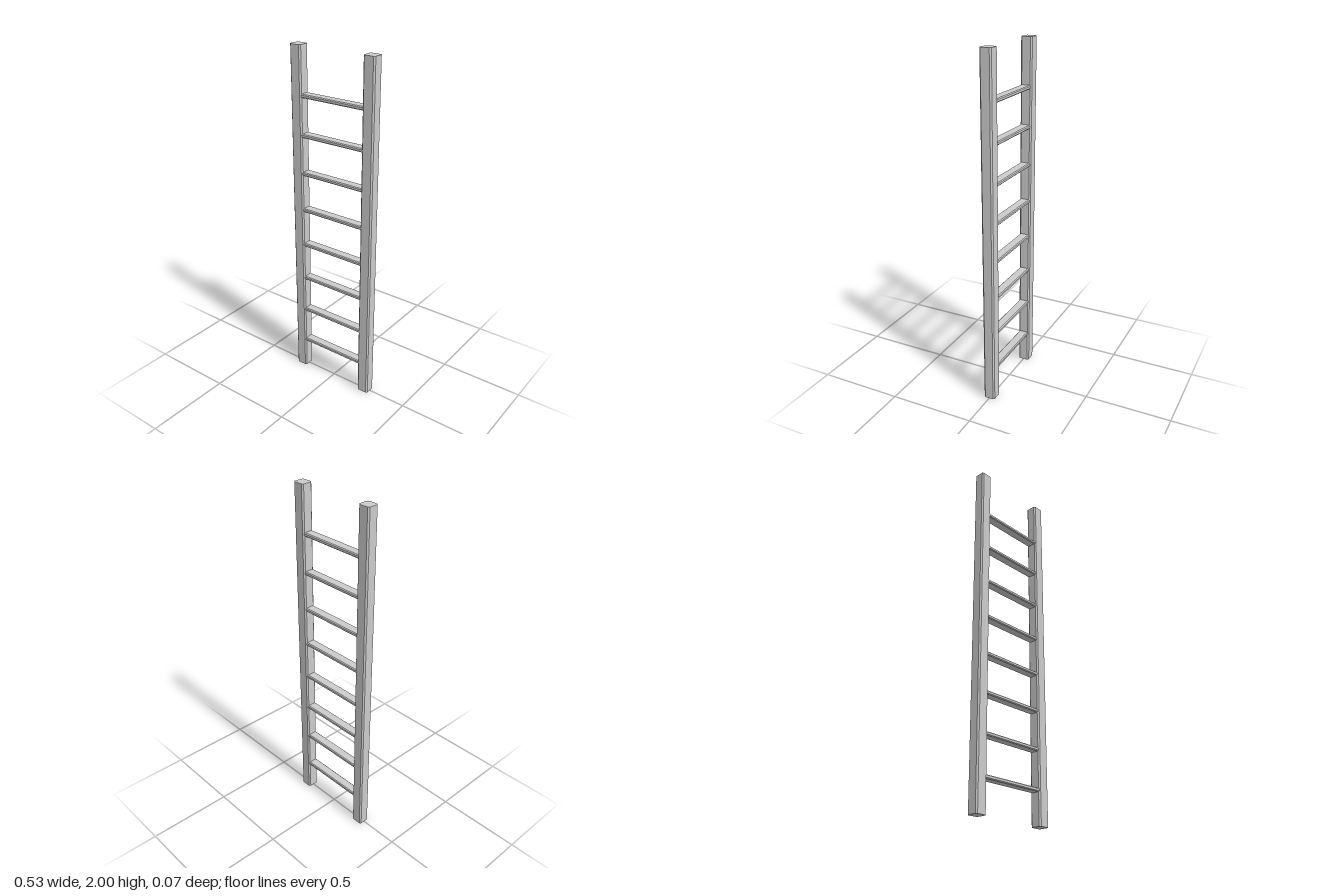
import * as THREE from 'three';

const material = new THREE.MeshStandardMaterial({ color: 0xcccccc, flatShading: true });

// Straight bar with chamfered long edges, running along z and centred
function chamferedBar(width, height, length, c) {
  const w = width / 2, h = height / 2;
  const section = new THREE.Shape([
    [w - c, -h], [w, -h + c], [w, h - c], [w - c, h],
    [-w + c, h], [-w, h - c], [-w, -h + c], [-w + c, -h],
  ].map(([x, y]) => new THREE.Vector2(x, y)));
  const geometry = new THREE.ExtrudeGeometry(section, { depth: length, bevelEnabled: false });
  return geometry.translate(0, 0, -length / 2);
}

export function createModel() {
  const ladder = new THREE.Group();
  ladder.name = 'ladder';

  const add = (name, geometry, x, y) => {
    const mesh = new THREE.Mesh(geometry, material);
    mesh.name = name;
    mesh.position.set(x, y, 0);
    ladder.add(mesh);
  };

  // Upright side rails
  const railGeometry = chamferedBar(0.07, 0.066, 2, 0.008).rotateX(-Math.PI / 2);
  add('leftRail', railGeometry, 0.232, 1);
  add('rightRail', railGeometry, -0.232, 1);

  // Evenly spaced flat rungs, seated slightly into the rails
  const rungGeometry = chamferedBar(0.056, 0.021, 0.4, 0.005).rotateY(Math.PI / 2);
  for (let i = 0; i < 8; i++) add(`rung${i + 1}`, rungGeometry, 0, 0.19 + i * 0.2204);

  return ladder;
}
